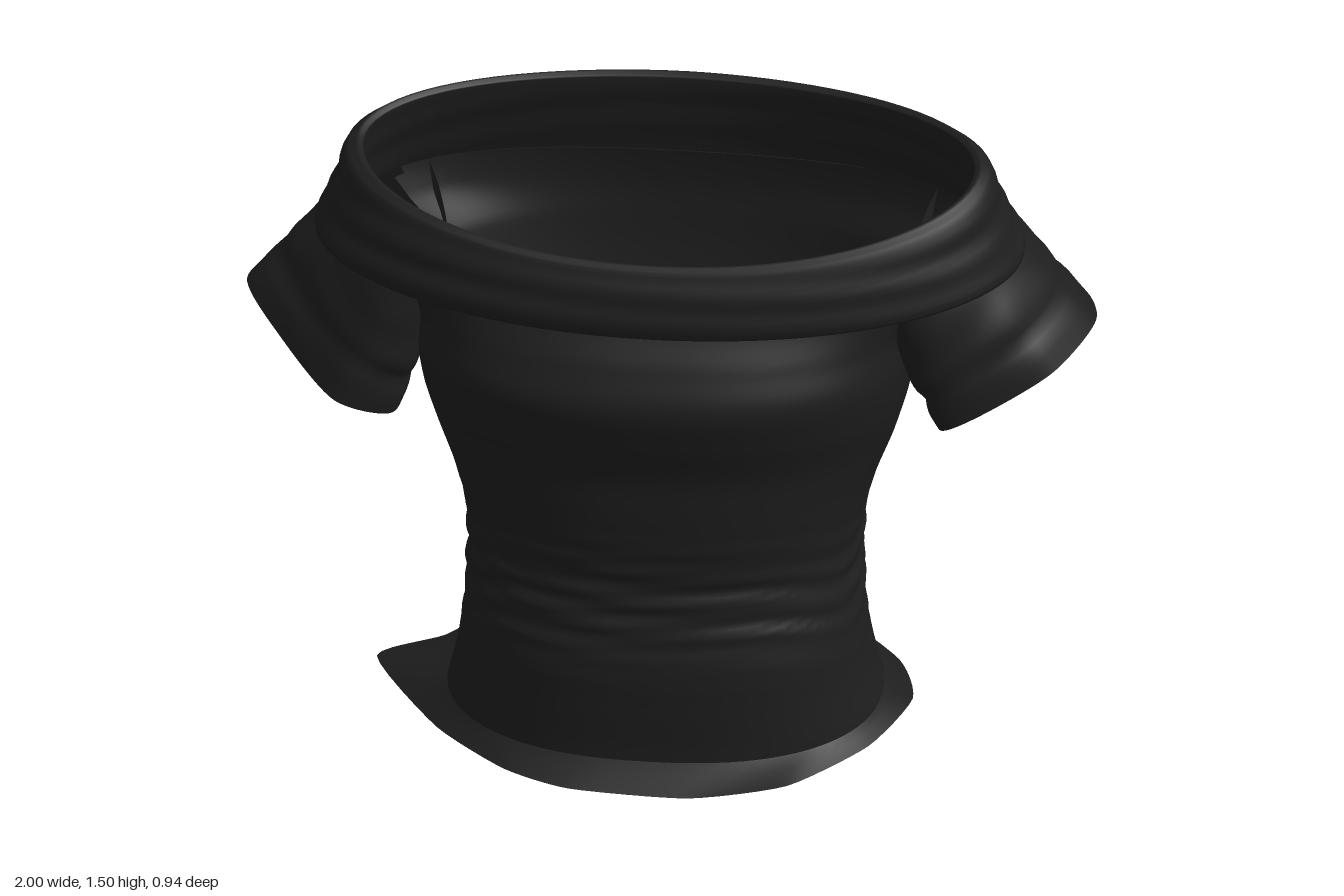
import * as THREE from 'three';

const N = 84; // points around each ring
const V = (x, y, z) => new THREE.Vector3(x, y, z);
const spow = (v, p) => Math.sign(v) * Math.pow(Math.abs(v), p);
const { lerp, clamp } = THREE.MathUtils;

// Ring built from a rule giving the point at each angle (0 = left side, PI/2 = front)
const ring = rule => Array.from({ length: N }, (_, i) => rule((i / N) * Math.PI * 2));

// Point on a rounded outline; s = (half-width, front, back), p = squareness
const outline = (a, s, p, y, k = 1) => V(
  k * s.x * spow(Math.cos(a), p), y,
  k * ((s.y + s.z) / 2 + ((s.y - s.z) / 2) * spow(Math.sin(a), p)));

// Closed smooth ring through a few points
function curveRing(points, tension = 0.5) {
  const c = new THREE.CatmullRomCurve3(points.map(q => V(...q)), true, 'catmullrom', tension);
  return Array.from({ length: N }, (_, i) => c.getPoint(i / N));
}

// Skin between successive closed rings; skip(point) leaves openings
function loft(rings, skip = () => false) {
  const pos = rings.flat().flatMap(v => [v.x, v.y, v.z]);
  const index = [];
  for (let r = 0; r < rings.length - 1; r++) {
    for (let i = 0; i < N; i++) {
      const j = (i + 1) % N;
      if (skip(rings[r][i]) && skip(rings[r][j])) continue;
      const a = r * N + i, b = r * N + j, c = a + N, d = b + N;
      index.push(a, c, b, b, c, d);
    }
  }
  const g = new THREE.BufferGeometry();
  g.setAttribute('position', new THREE.Float32BufferAttribute(pos, 3));
  g.setIndex(index);
  g.computeVertexNormals();
  return g;
}

export function createModel() {
  const top = new THREE.Group();
  top.name = 'offShoulderTop';
  const fabric = new THREE.MeshStandardMaterial({ color: 0x1e1e1e, side: THREE.DoubleSide });
  fabric.name = 'black fabric';
  const add = (name, geometry) => {
    const m = new THREE.Mesh(geometry, fabric);
    m.name = name;
    top.add(m);
  };

  // Heights of the band's rim and lower fold, both tilted up towards the back
  const rimY = a => 1.46 - 0.085 * Math.sin(a) - 0.045 * Math.sin(a) ** 2;
  const foldY = a => 1.235 - 0.05 * Math.sin(a) - 0.025 * Math.sin(a) ** 2;

  // Bodice: half-width, front and back at every 0.1 of height from 0.1 to 1.4
  const profile = new THREE.CatmullRomCurve3([
    [0.515, 0.41, -0.31], [0.49, 0.415, -0.29], [0.475, 0.415, -0.26], [0.465, 0.4, -0.255],
    [0.462, 0.39, -0.26], [0.472, 0.4, -0.275], [0.5, 0.41, -0.305], [0.54, 0.42, -0.345],
    [0.57, 0.45, -0.37], [0.588, 0.47, -0.39], [0.61, 0.43, -0.4], [0.7, 0.37, -0.4],
    [0.76, 0.365, -0.38], [0.76, 0.36, -0.36],
  ].map(q => V(...q)));
  const rows = 88;
  const bodiceRings = [];
  for (let r = 0; r <= rows; r++) {
    bodiceRings.push(ring(a => {
      const y = lerp(0.1 - 0.05 * Math.sin(a), foldY(a) + 0.08, r / rows);
      // Gathered creases around the waist
      const gather = Math.exp(-Math.pow((y - 0.46) / 0.12, 2));
      const w = Math.sin(y * 85 + 2.2 * Math.sin(a * 2 + 0.6) + Math.sin(a * 5))
        + 0.6 * Math.sin(y * 140 + 3 * Math.cos(a * 3));
      const s = profile.getPoint(clamp((y - 0.1) / 1.3, 0, 1));
      return outline(a, s, 0.85, y, 1 + 0.011 * gather * w);
    }));
  }
  // Armholes are left open at the sides
  add('bodice', loft(bodiceRings, v =>
    v.y > 1.06 && Math.abs(v.x) > 0.555 + (v.y - 1.06) * 0.5));

  // Uneven flared hem
  const hemRing = curveRing([
    [0.58, 0.085, 0.05], [0.5, 0.055, 0.25], [0.33, 0.03, 0.43], [0.1, 0.003, 0.47],
    [-0.18, 0.012, 0.47], [-0.34, 0.03, 0.42], [-0.52, 0.045, 0.25], [-0.7, 0.055, -0.08],
    [-0.55, 0.06, -0.2], [-0.42, 0.08, -0.36], [-0.2, 0.12, -0.47], [0.1, 0.1, -0.42],
    [0.33, 0.1, -0.36], [0.52, 0.07, -0.18],
  ], 0.3);
  const hemMid = hemRing.map((v, i) => v.clone().lerp(bodiceRings[0][i], 0.6).add(V(0, 0.004, 0)));
  add('hem', loft([hemRing, hemMid, bodiceRings[1]]));

  // Closed underside
  add('underside', loft([hemRing.map(() => V(0, 0.06, 0.03)), hemRing]));

  // Folded shoulder band: half-width, front and back from fold, over the rim, to the lining
  const section = new THREE.CatmullRomCurve3([
    [0.8, 0.355, -0.37], [0.835, 0.392, -0.402], [0.832, 0.397, -0.408], [0.8, 0.392, -0.39],
    [0.78, 0.38, -0.368], [0.76, 0.362, -0.35], [0.735, 0.345, -0.338], [0.72, 0.332, -0.322],
    [0.735, 0.342, -0.335], [0.75, 0.35, -0.36],
  ].map(q => V(...q)));
  const heights = [0.06, 0, 0.12, 0.4, 0.7, 0.93, 1, 0.95, 0.6, 0.1];
  const bandRings = [];
  for (let r = 0; r <= 36; r++) {
    const u = r / 36, k = Math.min(8, Math.floor(u * 9));
    const t = lerp(heights[k], heights[k + 1], u * 9 - k);
    const s = section.getPoint(u);
    // Soft drape folds running along the band; the back leans in towards the rim
    bandRings.push(ring(a => outline(a, s, Math.sin(a) < 0 ? lerp(0.84, 1.08, t) : 0.97,
      lerp(foldY(a), rimY(a), t),
      1 + 0.007 * Math.sin(Math.PI * t) * Math.sin(t * 15 + 2 * Math.sin(a * 2 + 1)))));
  }
  add('shoulderBand', loft(bandRings));

  // Short sleeves, from the armhole to a slanted cuff that differs a little on each side
  const armhole = curveRing([
    [0.765, 1.3, -0.04], [0.73, 1.27, 0.12], [0.61, 1.22, 0.235], [0.55, 1.1, 0.195],
    [0.565, 0.99, 0.02], [0.54, 1.08, -0.175], [0.61, 1.28, -0.27], [0.73, 1.31, -0.2],
  ]);
  const cuffs = {
    left: [
      [1.0, 1.05, -0.06], [0.92, 0.995, 0.12], [0.76, 0.91, 0.195], [0.66, 0.86, 0.185],
      [0.655, 0.895, 0.04], [0.65, 0.92, -0.19], [0.78, 0.965, -0.28], [0.93, 1.04, -0.25],
    ],
    right: [
      [1.0, 1.05, -0.03], [0.9, 0.98, 0.13], [0.76, 0.89, 0.26], [0.63, 0.835, 0.2],
      [0.61, 0.865, 0.05], [0.635, 0.91, -0.2], [0.78, 0.97, -0.29], [0.92, 1.03, -0.24],
    ],
  };
  const centroid = R => R.reduce((s, v) => s.add(v), V(0, 0, 0)).divideScalar(N);
  for (const [name, points] of Object.entries(cuffs)) {
    const cuff = curveRing(points, 0.4);
    const rings = [];
    for (let r = 0; r <= 16; r++) {
      const t = r / 16;
      const mid = armhole.map((v, i) => v.clone().lerp(cuff[i], t));
      const c = centroid(mid);
      // Slight puff with a pinch above the turned cuff
      const k = 1 + 0.025 * Math.sin(Math.PI * t) - 0.04 * Math.exp(-Math.pow((t - 0.68) / 0.07, 2));
      mid.forEach((v, i) => v.sub(c).multiplyScalar(k + 0.01 * Math.sin(Math.PI * t)
        * Math.sin(t * 14 + 2 * Math.sin(i * 6 * Math.PI / N))).add(c));
      rings.push(mid);
    }
    // Inner panel across the cuff
    const c = centroid(cuff);
    const panel = [cuff, cuff.map(() => c)];
    // Ring order keeps faces pointing outward on both sides
    const place = list => name === 'left' ? [...list].reverse()
      : list.map(R => R.map(v => V(-v.x, v.y, v.z)));
    add(name + 'Sleeve', loft(place(rings)));
    add(name + 'CuffPanel', loft(place(panel)));
  }
  return top;
}
